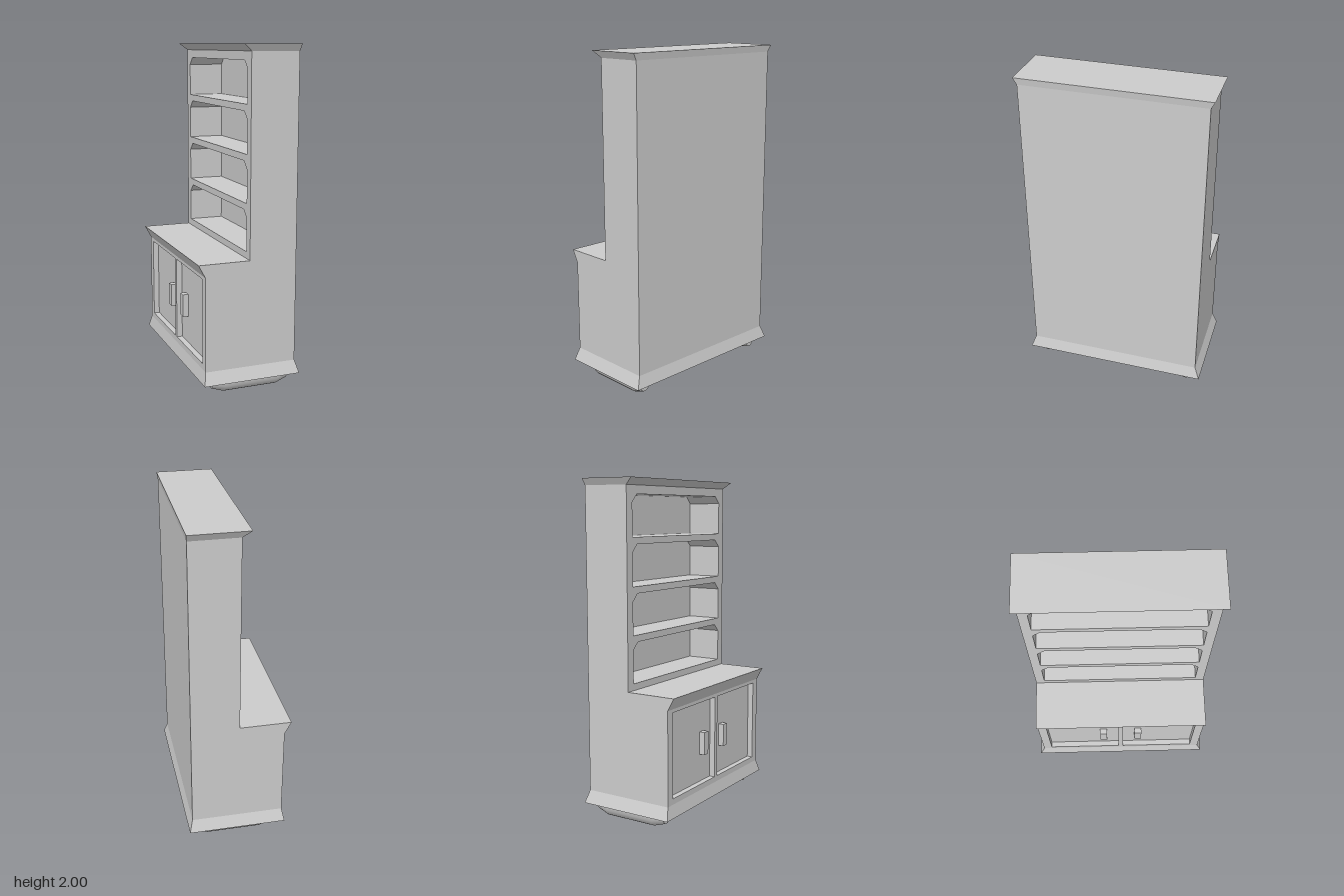
import * as THREE from 'three';

const material = new THREE.MeshStandardMaterial({ color: 0xcccccc, flatShading: true });
const smooth = new THREE.MeshStandardMaterial({ color: 0xcccccc });
const HALF = 0.54; // half width of the carcass along z

export function createModel() {
  const group = new THREE.Group();

  const add = (name, geometry, mat = material) => {
    const mesh = new THREE.Mesh(geometry, mat);
    mesh.name = name;
    group.add(mesh);
    return mesh;
  };

  // Box whose bottom and top rectangles [x0, x1, halfZ] may differ
  const flared = (name, y0, y1, bottom, top = bottom) => {
    const g = new THREE.BoxGeometry(2, 2, 2);
    const p = g.attributes.position;
    for (let i = 0; i < p.count; i++) {
      const up = p.getY(i) > 0;
      const [x0, x1, hz] = up ? top : bottom;
      p.setXYZ(i, p.getX(i) > 0 ? x1 : x0, up ? y1 : y0, Math.sign(p.getZ(i)) * hz);
    }
    g.computeVertexNormals();
    return add(name, g);
  };

  const polygon = (Type, points) => new Type(points.map(([u, v]) => new THREE.Vector2(u, v)));
  const rect = (u0, u1, v0, v1) => [[u0, v0], [u1, v0], [u1, v1], [u0, v1]];

  // Panel facing -x, pierced by holes, running from x0 to x1
  const framePanel = (name, y0, y1, x0, x1, holes) => {
    const shape = polygon(THREE.Shape, rect(-HALF, HALF, y0, y1));
    shape.holes = holes.map(h => polygon(THREE.Path, h.reverse()));
    const g = new THREE.ExtrudeGeometry(shape, { depth: x1 - x0, bevelEnabled: false });
    g.rotateY(Math.PI / 2).translate(x0, 0, 0);
    return add(name, g);
  };

  // Base skirt, lower cupboard and counter lip
  flared('baseSkirt', 0.08, 0.155, [-0.285, 0.31, 0.57], [-0.27, 0.29, HALF]);
  flared('cupboardBody', 0.155, 0.79, [-0.235, 0.29, HALF]);
  framePanel('doorFrame', 0.155, 0.715, -0.27, -0.235,
    [rect(-0.485, -0.015, 0.19, 0.695), rect(0.015, 0.485, 0.19, 0.695)]);
  flared('counterLip', 0.715, 0.79, [-0.27, -0.235, HALF], [-0.31, -0.235, HALF]);

  // Door handles
  for (const side of [-1, 1]) {
    const g = new THREE.BoxGeometry(0.035, 0.14, 0.045);
    add('doorHandle', g).position.set(-0.2525, 0.43, side * 0.115);
  }

  // Open shelves: four bays with chamfered top corners
  const bays = [];
  const w = 0.485, c = 0.045;
  for (let i = 0; i < 4; i++) {
    const y0 = 0.83 + i * 0.28, y1 = y0 + 0.24;
    bays.push([[-w, y0], [w, y0], [w, y1 - c], [w - c, y1], [c - w, y1], [-w, y1 - c]]);
  }
  framePanel('shelves', 0.79, 1.96, 0, 0.22, bays);
  flared('backPanel', 0.79, 1.96, [0.22, 0.29, HALF]);

  // Crown moulding
  flared('crown', 1.96, 2, [0, 0.29, HALF], [-0.05, 0.295, 0.562]);

  // Rounded runner feet, upper half hidden in the base
  const profile = [[0, -0.215], [0.055, -0.215], [0.055, -0.215], [0.08, -0.14],
    [0.08, 0.19], [0.055, 0.26], [0.055, 0.26], [0, 0.26]].map(([r, y]) => new THREE.Vector2(r, y));
  for (const side of [-1, 1]) {
    const g = new THREE.LatheGeometry(profile, 24);
    g.rotateZ(-Math.PI / 2).scale(1, 1, 0.7);
    add('runnerFoot', g, smooth).position.set(0, 0.08, side * 0.472);
  }

  return group;
}
